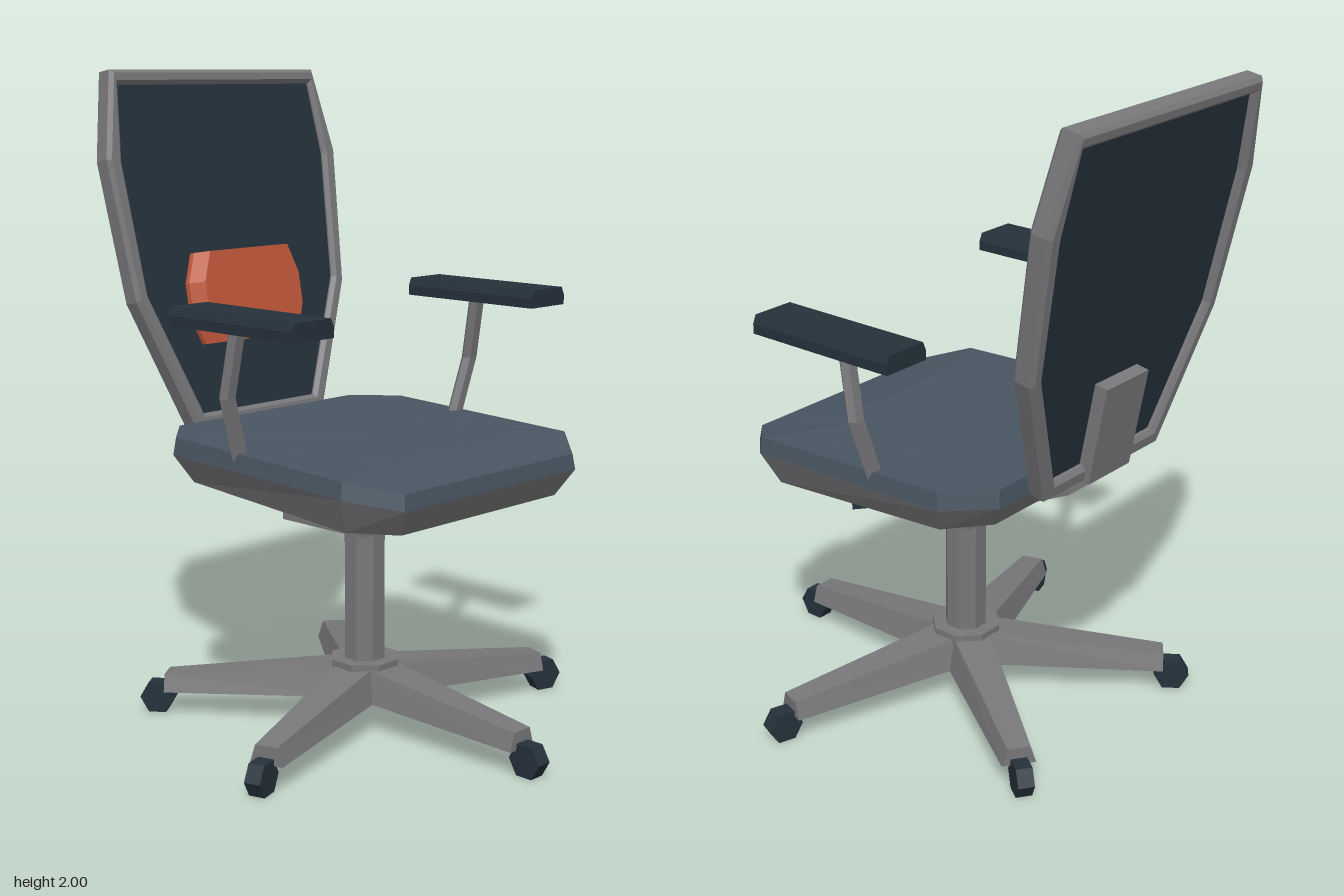
import * as THREE from 'three';

const mat = (name, color) => Object.assign(new THREE.MeshStandardMaterial({ color }), { name });

// Skin a list of equal-length rings (counter-clockwise about the travel direction), capped at both ends.
function loft(rings) {
  const pos = [];
  const tri = (...pts) => pts.forEach(p => pos.push(p[0], p[1], p[2]));
  const n = rings[0].length;
  const mid = r => [0, 1, 2].map(k => r.reduce((s, p) => s + p[k], 0) / n);
  for (let j = 0; j < rings.length - 1; j++) {
    const a = rings[j], b = rings[j + 1];
    for (let i = 0; i < n; i++) {
      const k = (i + 1) % n;
      tri(a[i], a[k], b[k]);
      tri(a[i], b[k], b[i]);
    }
  }
  const first = rings[0], last = rings[rings.length - 1];
  for (let i = 0; i < n; i++) {
    const k = (i + 1) % n;
    tri(mid(first), first[k], first[i]);
    tri(mid(last), last[i], last[k]);
  }
  const g = new THREE.BufferGeometry();
  g.setAttribute('position', new THREE.Float32BufferAttribute(pos, 3));
  return g;
}

// Mesh with faceted normals
function part(parent, name, geo, material, x = 0, y = 0, z = 0) {
  const g = geo.index ? geo.toNonIndexed() : geo;
  g.computeVertexNormals();
  const m = new THREE.Mesh(g, material);
  m.name = name;
  m.position.set(x, y, z);
  parent.add(m);
  return m;
}

// Closed outline mirrored in x, from points listed top to bottom on the +x side
function mirrored(half, Type = THREE.Shape) {
  const right = half.map(([x, y]) => new THREE.Vector2(x, y));
  const left = half.map(([x, y]) => new THREE.Vector2(-x, y));
  return new Type([...left, ...right.reverse()]);
}

// Octagonal seat ring; ys gives the heights from front to back
function seatRing(scale, ys) {
  const half = [[0.375, 0.515], [0.495, 0.39], [0.495, -0.31], [0.375, -0.435]];
  const pts = half.map(([x, z], i) => [x * scale, ys[i], 0.04 + (z - 0.04) * scale]);
  return [...pts, ...pts.map(([x, y, z]) => [-x, y, z]).reverse()];
}

export function createModel() {
  const chair = new THREE.Group();
  chair.name = 'officeChair';
  const grey = mat('greyFrame', 0x77777a);
  const slate = mat('slateFabric', 0x485561);
  const dark = mat('darkPlastic', 0x25313b);
  const orange = mat('orangeCushion', 0xc0583a);

  // Five-legged base with wheels
  for (let i = 0; i < 5; i++) {
    const arm = new THREE.Group();
    arm.name = 'baseArm';
    arm.rotation.y = i * Math.PI * 2 / 5;
    const section = (z, low, high, wLow, wHigh) =>
      [[-wLow, low, z], [wLow, low, z], [wHigh, high, z], [-wHigh, high, z]];
    part(arm, 'leg', loft([section(0.03, 0.1, 0.198, 0.085, 0.06), section(0.63, 0.075, 0.13, 0.052, 0.035)]), grey);
    const wheel = new THREE.CylinderGeometry(0.055, 0.055, 0.05, 6).rotateZ(Math.PI / 2);
    part(arm, 'wheel', wheel, dark, 0, 0.048, 0.658);
    chair.add(arm);
  }
  const post = (name, r, y0, y1) => part(chair, name,
    new THREE.CylinderGeometry(r, r, y1 - y0, 8).rotateY(Math.PI / 8), grey, 0, (y0 + y1) / 2, 0);
  post('hub', 0.085, 0.09, 0.19);
  post('hubCollar', 0.11, 0.185, 0.21);
  post('column', 0.066, 0.2, 0.625);
  post('piston', 0.045, 0.62, 0.66);

  // Tilt mechanism, lever and rear support
  part(chair, 'mechanism', new THREE.BoxGeometry(0.374, 0.13, 0.34), grey, 0, 0.715, 0.005);
  const lever = part(chair, 'lever', new THREE.BoxGeometry(0.3, 0.028, 0.11), dark, 0.193, 0.697, 0.097);
  lever.rotation.set(0, -Math.PI / 4, -0.05);
  const barRing = (yLow, zLow, yHigh, zHigh) =>
    [[-0.1, yLow, zLow], [-0.1, yHigh, zHigh], [0.1, yHigh, zHigh], [0.1, yLow, zLow]];
  part(chair, 'backSupport', loft([barRing(0.673, -0.15, 0.76, -0.15), barRing(0.83, -0.47, 0.898, -0.452)]), grey);

  // Seat shell and cushion
  const seam = [0.82, 0.853, 0.875, 0.877];
  part(chair, 'seatShell', loft([seatRing(0.9, [0.74, 0.748, 0.79, 0.8]), seatRing(1, seam)]), grey);
  part(chair, 'seatCushion', loft([
    seatRing(1, seam),
    seatRing(0.985, [0.868, 0.902, 0.928, 0.93]),
    seatRing(0.55, [0.908, 0.913, 0.918, 0.92]),
    seatRing(0.02, [0.903, 0.903, 0.903, 0.903]),
  ]), slate);

  // Armrests
  for (const s of [1, -1]) {
    const hexRing = (x, y, z) => Array.from({ length: 6 }, (_, i) => {
      const a = (i + 0.5) * Math.PI / 3;
      return [s * x + 0.03 * Math.sin(a), y, z + 0.021 * Math.cos(a)];
    });
    part(chair, 'armPost', loft([hexRing(0.452, 0.86, -0.05), hexRing(0.522, 1.085, -0.035), hexRing(0.514, 1.29, 0.003)]), grey);
    const profile = mirrored([[0.068, 0.055], [0.079, 0.03], [0.079, 0]]);
    const pad = new THREE.ExtrudeGeometry(profile, { depth: 0.51, bevelEnabled: false });
    part(chair, 'armPad', pad, dark, s * 0.505, 1.28, -0.213);
  }

  // Reclined backrest: origin at the lower front edge of the frame
  const back = new THREE.Group();
  back.name = 'backrest';
  back.position.set(0, 0.893, -0.446);
  back.rotation.x = -0.182;
  chair.add(back);
  const inner = [[0.4, 1.08], [0.425, 0.845], [0.395, 0.435], [0.237, 0.055]];
  const outline = mirrored([[0.425, 1.126], [0.48, 0.855], [0.442, 0.42], [0.27, 0]]);
  outline.holes.push(mirrored(inner, THREE.Path));
  const frame = new THREE.ExtrudeGeometry(outline, {
    depth: 0.048, bevelThickness: 0.012, bevelSize: 0.012, bevelOffset: -0.012, bevelSegments: 1,
  });
  part(back, 'backFrame', frame, grey, 0, 0, -0.06);
  const panel = new THREE.ExtrudeGeometry(mirrored(inner.map(([x, y]) => [x + 0.008, y])), { depth: 0.03, bevelEnabled: false });
  part(back, 'backPanel', panel, dark, 0, 0, -0.048);
  part(back, 'backPlate', new THREE.BoxGeometry(0.2, 0.31, 0.045), grey, 0, 0.16, -0.068);

  // Lumbar cushion with tapered sides
  const pillowRing = (z, inset) => {
    const half = [[0.2, -0.143], [0.235, -0.05], [0.235, 0.05], [0.2, 0.143]];
    const pts = half.map(([x, y]) => [x - inset, y, z]);
    return [...pts, ...pts.map(([x, y]) => [-x, y, z]).reverse()];
  };
  part(back, 'lumbarCushion', loft([pillowRing(-0.03, 0), pillowRing(0, 0), pillowRing(0.037, 0.035)]), orange, 0, 0.41, 0);

  return chair;
}
